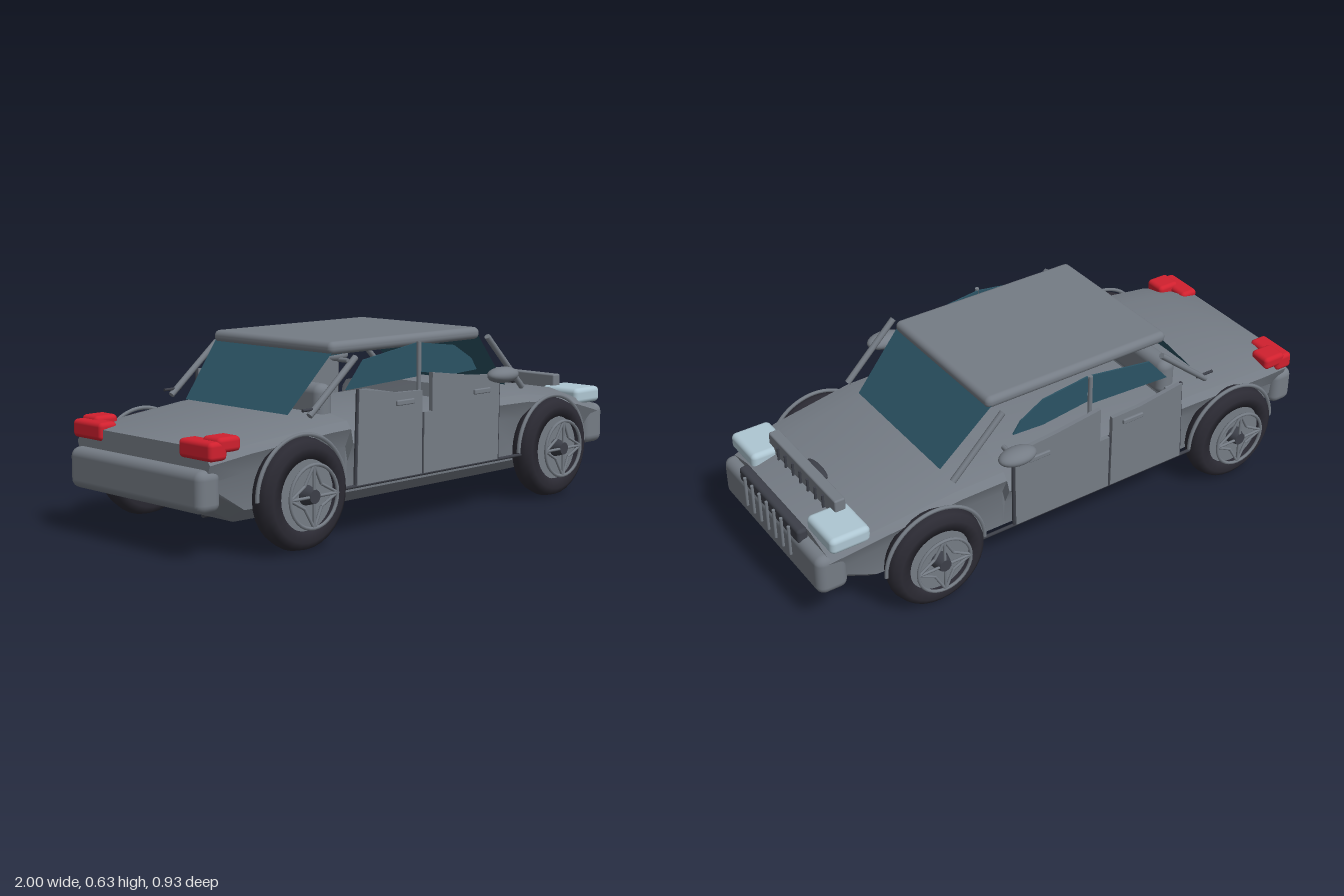
import * as THREE from 'three';
import { toCreasedNormals } from 'three/addons/utils/BufferGeometryUtils.js';
import { RoundedBoxGeometry } from 'three/addons/geometries/RoundedBoxGeometry.js';

const mat = (name, color, extra = {}) => {
  const m = new THREE.MeshStandardMaterial({ color, ...extra });
  m.name = name;
  return m;
};

export function createModel() {
  const car = new THREE.Group();
  car.name = 'car';
  const paint = mat('grey paint', 0x757c85);
  const tyreMat = mat('tyre rubber', 0x2b2a33);
  const dark = mat('dark trim', 0x3c3f48);
  const glass = mat('glass', 0x2b5364, { side: THREE.DoubleSide });
  const lampMat = mat('headlight', 0xaec6d2);
  const red = mat('taillight red', 0xd0202e);

  const add = (name, geo, material, x = 0, y = 0, z = 0, parent = car) => {
    const m = new THREE.Mesh(geo, material);
    m.name = name;
    m.position.set(x, y, z);
    parent.add(m);
    return m;
  };
  // Rounded box given by its extents
  const block = (name, [x0, x1], [y0, y1], [z0, z1], r, material) =>
    add(name, new RoundedBoxGeometry(x1 - x0, y1 - y0, z1 - z0, 3, r), material,
      (x0 + x1) / 2, (y0 + y1) / 2, (z0 + z1) / 2);
  // Straight round bar between two points
  const rod = (name, a, b, r, material, parent = car) => {
    const p = new THREE.Vector3(...a), q = new THREE.Vector3(...b);
    const m = add(name, new THREE.CylinderGeometry(r, r, p.distanceTo(q), 8), material, 0, 0, 0, parent);
    m.position.copy(p).add(q).multiplyScalar(0.5);
    m.quaternion.setFromUnitVectors(new THREE.Vector3(0, 1, 0), q.sub(p).normalize());
    return m;
  };
  // Flat plate in the side plane, centred on z
  const plate = (name, pts, z, depth, material) => {
    const shape = new THREE.Shape(pts.map(p => new THREE.Vector2(...p)));
    const g = new THREE.ExtrudeGeometry(shape, { depth, bevelEnabled: false });
    return add(name, g, material, 0, 0, z - depth / 2);
  };

  // Body shell, lofted along x: [x, bottom, top, half width]
  const stations = [
    [-0.96, 0.18, 0.35, 0.335], [-0.82, 0.1, 0.375, 0.365], [-0.5, 0.1, 0.405, 0.388],
    [-0.42, 0.1, 0.408, 0.39], [-0.41, 0.1, 0.36, 0.39], [0.3, 0.1, 0.36, 0.39],
    [0.31, 0.1, 0.408, 0.39], [0.48, 0.1, 0.405, 0.388], [0.78, 0.1, 0.365, 0.37],
    [0.95, 0.16, 0.32, 0.34]];
  const pos = [], idx = [];
  for (const [x, b, t, w] of stations) {
    const half = [[0.75 * w, b], [0.9 * w, b + 0.045], [0.93 * w, t - 0.11],
      [w, t - 0.05], [0.95 * w, t - 0.025], [0.65 * w, t]];
    for (const [z, y] of half) pos.push(x, y, z);
    for (const [z, y] of half.reverse()) pos.push(x, y, -z);
  }
  const n = 12, last = (stations.length - 1) * n;
  for (let i = 0; i < stations.length - 1; i++)
    for (let j = 0; j < n; j++) {
      const a = i * n + j, c = i * n + (j + 1) % n;
      idx.push(a, a + n, c, c, a + n, c + n);
    }
  for (let j = 1; j < n - 1; j++) idx.push(0, j, j + 1, last, last + j + 1, last + j);
  const hull = new THREE.BufferGeometry();
  hull.setAttribute('position', new THREE.Float32BufferAttribute(pos, 3));
  hull.setIndex(idx);
  add('bodyShell', toCreasedNormals(hull, 0.5), paint);

  // Bumpers, roof, rear seat back
  block('rearBumper', [-1, -0.91], [0.15, 0.285], [-0.335, 0.335], 0.03, paint);
  block('frontBumper', [0.88, 0.99], [0.147, 0.295], [-0.34, 0.34], 0.03, paint);
  block('roof', [-0.415, 0.32], [0.585, 0.628], [-0.295, 0.295], 0.02, paint);
  block('rearSeatBack', [-0.47, -0.4], [0.36, 0.495], [-0.295, 0.295], 0.03, paint);

  // Windscreens, wider at the roof than at the base
  const screen = (name, xt, xb, zt, zb) => {
    const g = new THREE.BufferGeometry();
    g.setAttribute('position', new THREE.Float32BufferAttribute(
      [xt, 0.6, zt, xb, 0.405, zb, xb, 0.405, -zb, xt, 0.6, -zt], 3));
    g.setIndex(xt > 0 ? [0, 1, 2, 0, 2, 3] : [0, 2, 1, 0, 3, 2]);
    g.computeVertexNormals();
    add(name, g, glass);
  };
  screen('windscreen', 0.305, 0.49, 0.295, 0.267);
  screen('rearScreen', -0.4, -0.57, 0.29, 0.255);

  // Grille, its bars and the bonnet vent
  block('lowerGrille', [0.95, 0.988], [0.275, 0.33], [-0.21, 0.21], 0.012, dark);
  block('upperGrille', [0.82, 0.86], [0.325, 0.408], [-0.23, 0.23], 0.006, paint);
  for (let i = -3; i <= 3; i++) {
    const z = i * 0.0515;
    rod('lowerGrilleBar', [0.993, 0.207, z], [0.993, 0.32, z], 0.006, paint);
    rod('upperGrilleBar', [0.864, 0.33, z], [0.864, 0.39, z], 0.005, dark);
  }
  add('bonnetVent', new THREE.SphereGeometry(1, 16, 10), dark, 0.8, 0.372, 0).scale.set(0.017, 0.015, 0.065);

  // Exhaust under the floor
  rod('exhaust', [-0.82, 0.102, 0.13], [0.05, 0.102, 0.13], 0.012, dark);

  for (const s of [1, -1]) {
    const span = (a, b) => (s > 0 ? [a, b] : [-b, -a]);
    // Lights
    block('headlight', [0.8, 0.945], [0.307, 0.366], span(0.185, 0.355), 0.018, lampMat);
    block('taillightRear', [-0.97, -0.9], [0.312, 0.372], span(0.195, 0.35), 0.015, red);
    block('taillightSide', [-0.935, -0.845], [0.335, 0.383], span(0.265, 0.35), 0.015, red);

    // Doors with handles, shut lines and sill rail
    const dz = s * 0.4;
    plate('rearDoor', [[-0.41, 0.175], [-0.105, 0.175], [-0.105, 0.455], [-0.22, 0.458], [-0.4, 0.485]], dz, 0.016, paint);
    plate('frontDoor', [[-0.095, 0.175], [0.285, 0.175], [0.29, 0.46], [0.25, 0.475], [0.13, 0.485],
      [-0.055, 0.51], [-0.055, 0.38], [-0.095, 0.38]], dz, 0.016, paint);
    for (const [a, b] of [[[-0.412, 0.175], [-0.4, 0.485]], [[-0.1, 0.175], [-0.1, 0.38]], [[0.289, 0.175], [0.293, 0.46]]])
      rod('shutLine', [...a, dz], [...b, dz], 0.006, dark);
    for (const x of [-0.19, 0.195])
      block('doorHandle', [x - 0.042, x + 0.042], [0.415, 0.433], span(0.405, 0.416), 0.004, paint);
    rod('sillRail', [-0.46, 0.172, dz], [0.42, 0.172, dz], 0.006, dark);

    // Side windows
    plate('rearSideWindow', [[-0.39, 0.475], [-0.055, 0.49], [-0.055, 0.604], [-0.31, 0.567]], s * 0.335, 0.006, glass);
    plate('frontSideWindow', [[-0.05, 0.505], [0.13, 0.482], [0.25, 0.488], [0.22, 0.53], [0.13, 0.582], [-0.05, 0.604]],
      s * 0.335, 0.006, glass);

    // Roof pillars
    const pz = s * 0.345;
    rod('frontPillar', [0.295, 0.6, pz], [0.49, 0.405, pz], 0.011, paint);
    rod('rearPillar', [-0.355, 0.58, pz], [-0.56, 0.41, pz], 0.011, paint);
    rod('middlePillar', [-0.055, 0.38, pz], [-0.055, 0.608, pz], 0.008, paint);
    rod('rearPillarFoot', [-0.59, 0.43, pz], [-0.52, 0.43, pz], 0.005, dark);

    // Mirror
    add('mirror', new THREE.SphereGeometry(1, 24, 16), paint, 0.29, 0.472, s * 0.422).scale.set(0.07, 0.028, 0.042);
    rod('mirrorArm', [0.29, 0.458, s * 0.34], [0.29, 0.458, s * 0.42], 0.009, paint);

    // Wheels with arch trims
    for (const x of [-0.645, 0.595]) {
      const wheel = new THREE.Group();
      wheel.name = 'wheel';
      wheel.position.set(x, 0.18, s * 0.39);
      if (s < 0) wheel.rotation.y = Math.PI;
      car.add(wheel);

      const profile = [[0.115, -0.04], [0.15, -0.045], [0.172, -0.03], [0.18, 0], [0.172, 0.03],
        [0.15, 0.045], [0.115, 0.04], [0.11, 0], [0.115, -0.04]].map(p => new THREE.Vector2(...p));
      add('tyre', new THREE.LatheGeometry(profile, 32), tyreMat, 0, 0, 0, wheel).rotation.x = Math.PI / 2;
      add('rimDisc', new THREE.CylinderGeometry(0.117, 0.117, 0.06, 32), paint, 0, 0, 0, wheel).rotation.x = Math.PI / 2;
      add('hub', new THREE.CylinderGeometry(0.022, 0.035, 0.05, 16), dark, 0, 0, 0.045, wheel).rotation.x = Math.PI / 2;
      add('rimRing', new THREE.TorusGeometry(0.1, 0.006, 6, 32), paint, 0, 0, 0.065, wheel);
      // Four-pointed star of spokes
      for (let k = 0; k < 4; k++) {
        const a = k * Math.PI / 2, tip = [0.1 * Math.cos(a), 0.1 * Math.sin(a), 0.065];
        for (const d of [-Math.PI / 4, Math.PI / 4])
          rod('spoke', tip, [0.05 * Math.cos(a + d), 0.05 * Math.sin(a + d), 0.06], 0.005, paint, wheel);
        rod('spokeRib', tip, [0, 0, 0.065], 0.005, paint, wheel);
      }
      add('archTrim', new THREE.TorusGeometry(0.188, 0.007, 6, 32, Math.PI), paint, x, 0.18, s * 0.402);
    }
  }
  return car;
}
